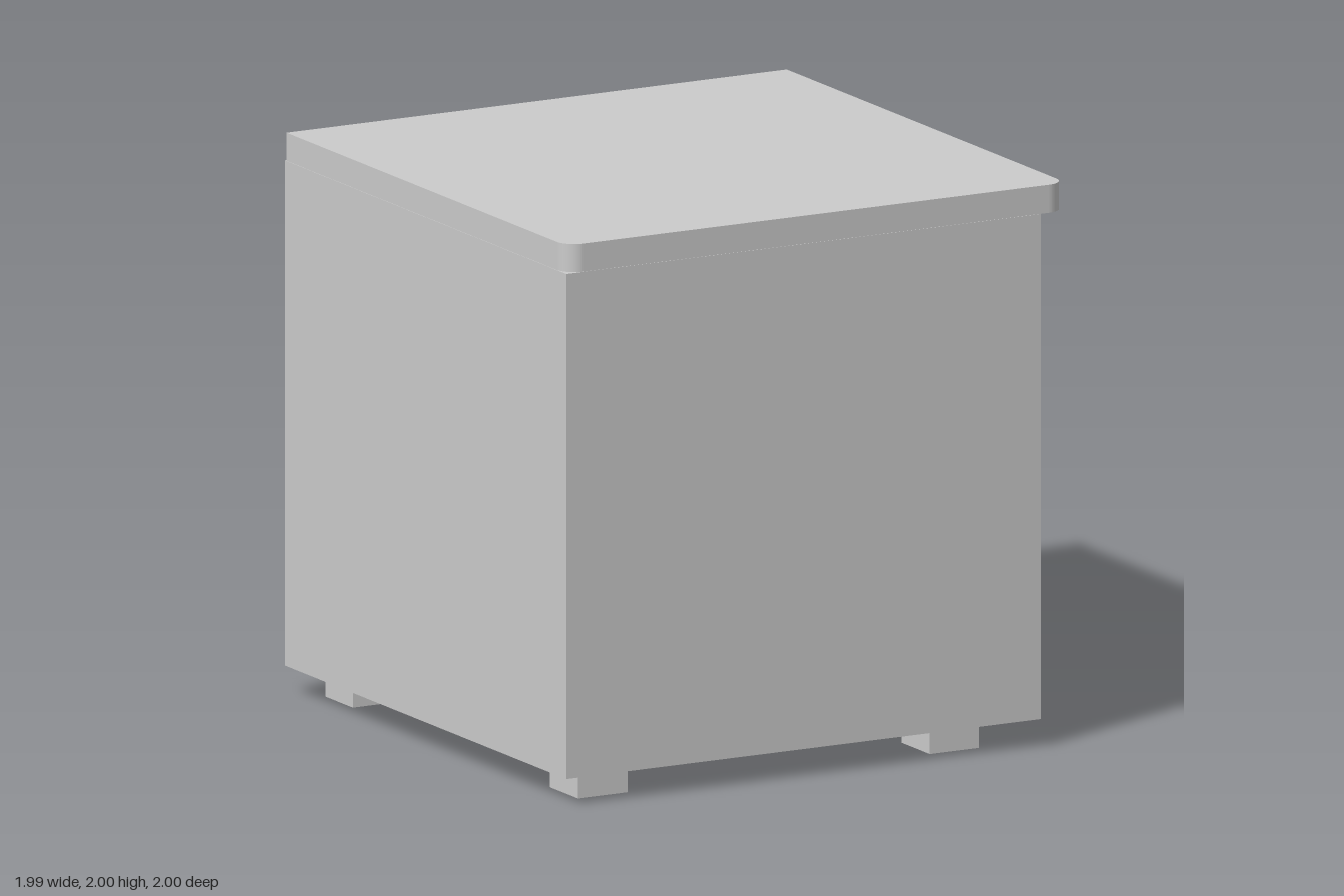
import * as THREE from 'three';

const material = new THREE.MeshStandardMaterial({ color: 0xcccccc, flatShading: true });

export function createModel() {
  const model = new THREE.Group();
  model.name = 'cabinet';

  function add(name, geometry, parent = model) {
    const mesh = new THREE.Mesh(geometry, material);
    mesh.name = name;
    parent.add(mesh);
    return mesh;
  }

  // Box given by its limits on each axis
  function box(name, [x0, x1], [y0, y1], [z0, z1], parent) {
    const mesh = add(name, new THREE.BoxGeometry(x1 - x0, y1 - y0, z1 - z0), parent);
    mesh.position.set((x0 + x1) / 2, (y0 + y1) / 2, (z0 + z1) / 2);
    return mesh;
  }

  function rectangle(path, x0, x1, y0, y1) {
    path.moveTo(x0, y0);
    path.lineTo(x1, y0);
    path.lineTo(x1, y1);
    path.lineTo(x0, y1);
    path.closePath();
    return path;
  }

  // Carcass; its +x face is the recessed door surface
  const doorX = 0.84, faceX = 0.89;
  box('carcass', [-1, doorX], [0.1, 1.9], [-1, 1]);

  // Door surround with two openings
  const surround = rectangle(new THREE.Shape(), -1, 1, 0.1, 1.9);
  for (const [a, b] of [[-0.9, -0.1], [0.1, 0.9]]) {
    surround.holes.push(rectangle(new THREE.Path(), a, b, 0.2, 1.81));
  }
  const frame = add('doorFrame', new THREE.ExtrudeGeometry(surround, { depth: faceX - doorX, bevelEnabled: false }));
  frame.rotation.y = Math.PI / 2;
  frame.position.x = doorX;

  // Overhanging top, rounded at its two +z corners
  const r = 0.07, x0 = -0.998, x1 = 0.992, z0 = -0.992, z1 = 0.998;
  const outline = new THREE.Shape();
  outline.moveTo(x0, -z0);
  outline.lineTo(x0, -z1 + r);
  outline.absarc(x0 + r, -z1 + r, r, Math.PI, Math.PI * 1.5, false);
  outline.lineTo(x1 - r, -z1);
  outline.absarc(x1 - r, -z1 + r, r, -Math.PI / 2, 0, false);
  outline.lineTo(x1, -z0);
  outline.closePath();
  const top = add('top', new THREE.ExtrudeGeometry(outline, { depth: 0.1, bevelEnabled: false, curveSegments: 8 }));
  top.rotation.x = -Math.PI / 2;
  top.position.y = 1.9;

  // Bracket-shaped door handles
  for (const z of [[0.18, 0.23], [-0.22, -0.17]]) {
    const handle = new THREE.Group();
    handle.name = 'handle';
    box('handleGrip', [0.915, 0.96], [0.8, 1.2], z, handle);
    box('handleLowerArm', [doorX, 0.915], [0.8, 0.85], z, handle);
    box('handleUpperArm', [doorX, 0.915], [1.145, 1.2], z, handle);
    model.add(handle);
  }

  // Square feet
  for (const x of [[-0.9, -0.7], [0.5, 0.695]]) {
    for (const z of [[0.705, 0.905], [-0.89, -0.695]]) box('foot', x, [0, 0.1], z);
  }

  return model;
}
